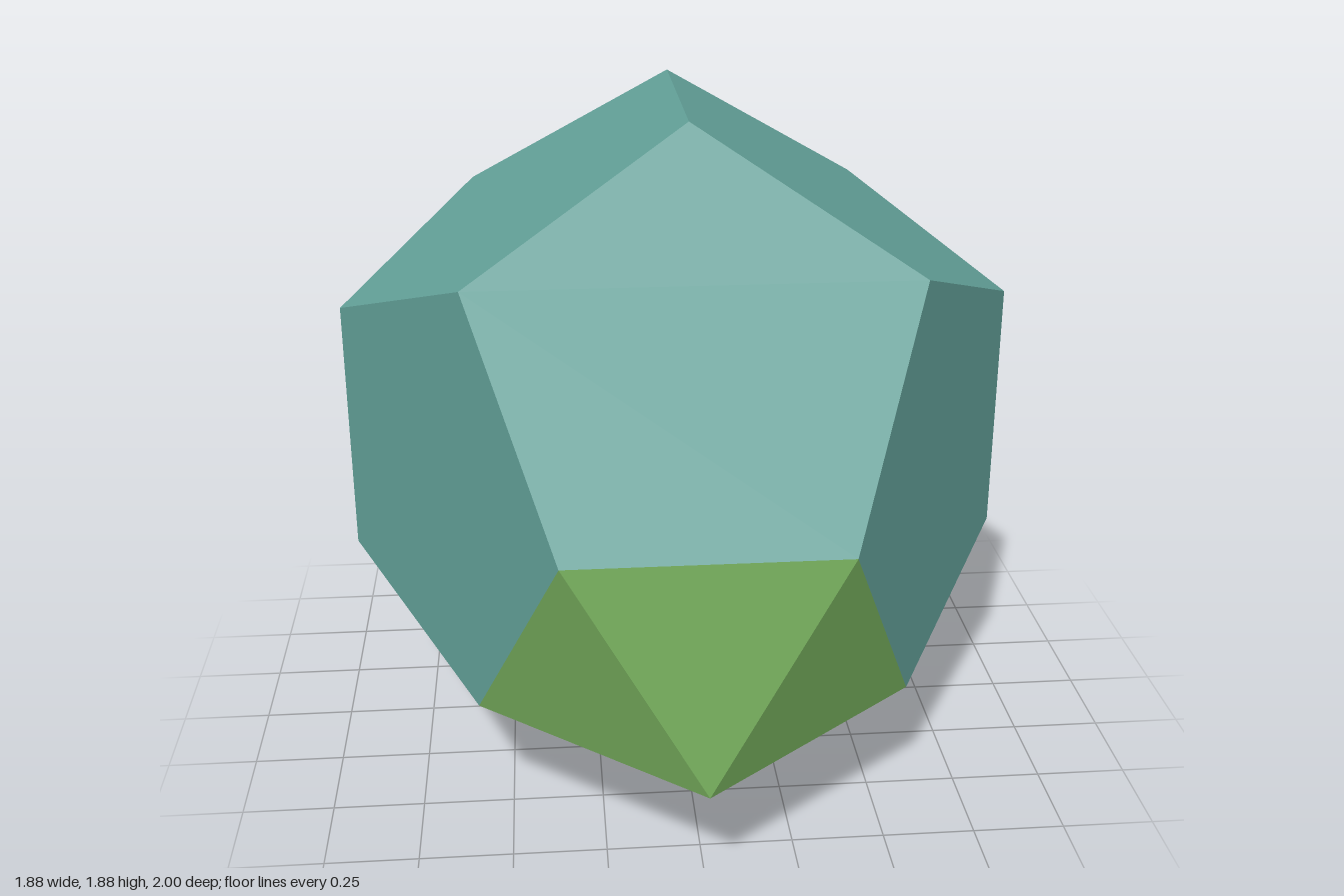
import * as THREE from 'three';

const PHI = (1 + Math.sqrt(5)) / 2;
const B = 0.5802;        // half side of the cube inscribed in the dodecahedron
const A = B * PHI;       // long half extent
const C = B / PHI;       // short half extent

const mat = (name, color) => {
  const m = new THREE.MeshStandardMaterial({ color });
  m.name = name;
  return m;
};

// Non-indexed triangles give crisp flat faces
function fromTriangles(points) {
  const g = new THREE.BufferGeometry().setFromPoints(points);
  g.computeVertexNormals();
  return g;
}

// Dodecahedron without the two opposite faces that carry pyramids
function bodyGeometry() {
  const source = new THREE.DodecahedronGeometry(B * Math.sqrt(3)).rotateY(Math.PI / 2);
  const pos = source.getAttribute('position');
  const axis = new THREE.Vector3(0, -1, PHI).normalize();
  const kept = [];
  for (let i = 0; i < pos.count; i += 3) {
    const tri = [0, 1, 2].map(k => new THREE.Vector3().fromBufferAttribute(pos, i + k));
    const normal = new THREE.Triangle(...tri).getNormal(new THREE.Vector3());
    if (Math.abs(normal.dot(axis)) < 0.99) kept.push(...tri);
  }
  return fromTriangles(kept);
}

// Five-sided cap of equilateral triangles
function capGeometry() {
  const apex = new THREE.Vector3(0, -1 / PHI, 1);
  const rim = [[C, 0, A], [-C, 0, A], [-B, -B, B], [0, -A, C], [B, -B, B]]
    .map(p => new THREE.Vector3(...p));
  return fromTriangles(rim.flatMap((p, i) => [p, rim[(i + 1) % 5], apex]));
}

export function createModel() {
  const teal = mat('teal', 0x62a098);
  const green = mat('green', 0x77af5e);
  const model = new THREE.Group();
  model.name = 'cappedDodecahedron';

  const add = (name, geometry, material) => {
    const mesh = new THREE.Mesh(geometry, material);
    mesh.name = name;
    mesh.position.y = A;
    model.add(mesh);
    return mesh;
  };

  add('body', bodyGeometry(), teal);
  add('frontPyramid', capGeometry(), green);
  // A half turn about x carries the cap to the opposite face
  add('backPyramid', capGeometry(), green).rotation.x = Math.PI;
  return model;
}
